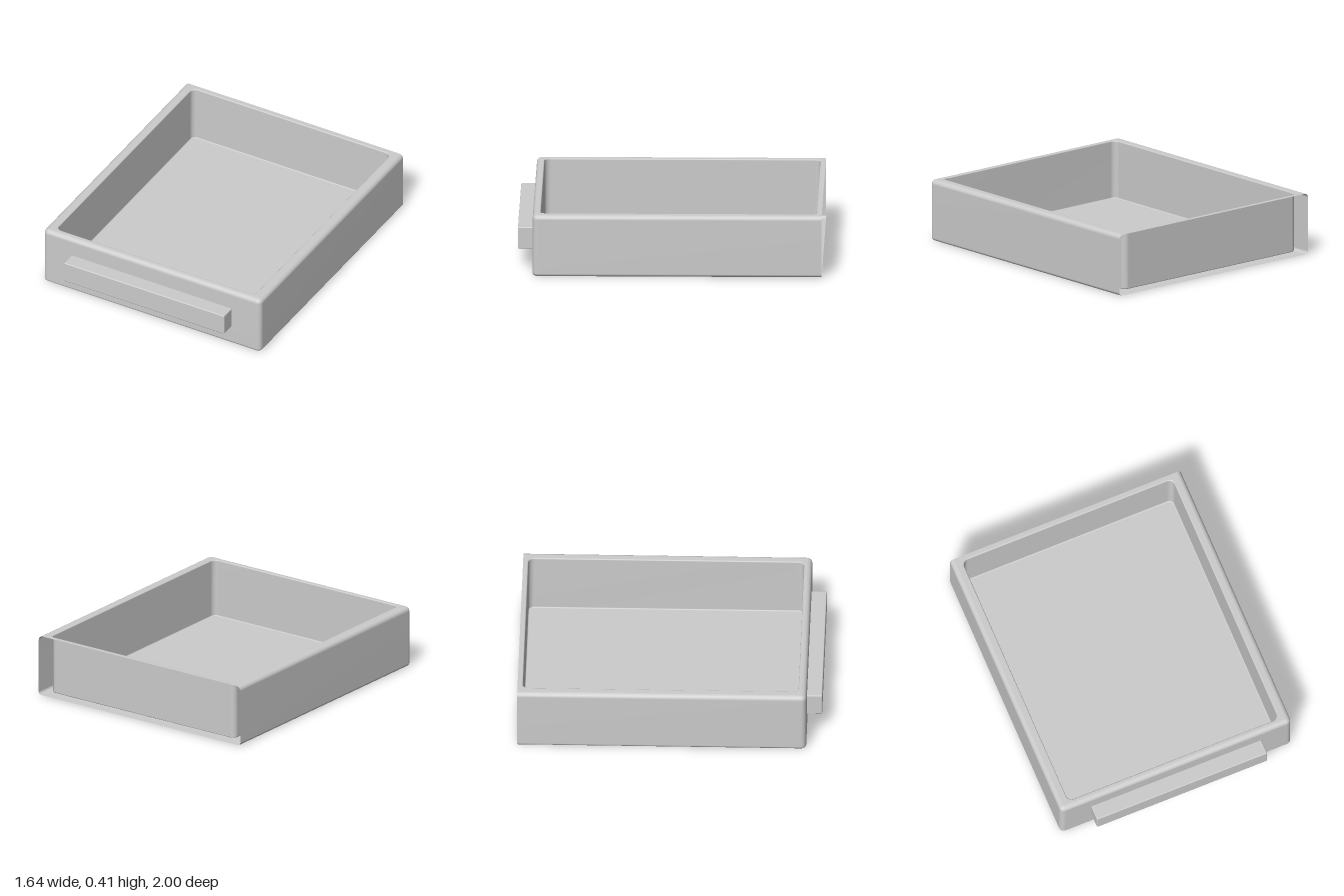
import * as THREE from 'three';
import { RoundedBoxGeometry } from 'three/addons/geometries/RoundedBoxGeometry.js';

const material = new THREE.MeshStandardMaterial({ color: 0xcccccc, side: THREE.DoubleSide });

// Rounded outline in plan; when open, it is a U with no back side
function outline(hx, zBack, zFront, r, open) {
  const pts = [];
  const centres = [[-hx + r, zFront - r], [hx - r, zFront - r]];
  if (open) pts.push([-hx, zBack]);
  else centres.push([hx - r, zBack + r], [-hx + r, zBack + r]);
  centres.forEach(([cx, cz], k) => {
    for (let i = 0; i <= 6; i++) {
      const a = Math.PI - (k + i / 6) * Math.PI / 2;
      pts.push([cx + r * Math.cos(a), cz + r * Math.sin(a)]);
    }
  });
  pts.push(open ? [hx, zBack] : pts[0]);
  return pts;
}

// Skin through outlines stacked at different heights
function loft(levels) {
  const pos = [], index = [], n = levels[0].pts.length;
  for (const { pts, y } of levels) for (const [x, z] of pts) pos.push(x, y, z);
  for (let j = 0; j < levels.length - 1; j++) {
    for (let i = 0; i < n - 1; i++) {
      const a = j * n + i, b = a + 1, c = b + n, d = a + n;
      index.push(a, b, c, a, c, d);
    }
  }
  const g = new THREE.BufferGeometry();
  g.setAttribute('position', new THREE.Float32BufferAttribute(pos, 3));
  g.setIndex(index);
  g.computeVertexNormals();
  return g;
}

// Flat horizontal panel facing up (1) or down (-1), with an optional hole
function panel(pts, y, facing, hole) {
  const to2D = list => list.map(([x, z]) => new THREE.Vector2(x, -facing * z));
  const shape = new THREE.Shape(to2D(pts));
  if (hole) shape.holes.push(new THREE.Path(to2D(hole)));
  return new THREE.ShapeGeometry(shape).rotateX(-facing * Math.PI / 2).translate(0, y, 0);
}

export function createModel() {
  const group = new THREE.Group();
  const add = (name, geometry) => {
    const mesh = new THREE.Mesh(geometry, material);
    mesh.name = name;
    group.add(mesh);
  };
  const H = 0.412, R = 0.03, RB = 0.02, STEPS = 5;
  const outer = d => outline(0.822 - d, -1, 0.9 - d, 0.035 - d, true);
  const inner = d => outline(0.755 - d, -0.972 + d, 0.855 - d, 0.045 - d, false);

  // Outer walls, rounded into the bottom and the rim, open at the back
  const walls = [];
  for (let i = 0; i <= STEPS; i++) {
    const a = i / STEPS * Math.PI / 2;
    walls.push({ pts: outer(RB * (1 - Math.sin(a))), y: RB * (1 - Math.cos(a)) });
  }
  for (let i = 0; i <= STEPS; i++) {
    const a = i / STEPS * Math.PI / 2;
    walls.push({ pts: outer(R * (1 - Math.cos(a))), y: H - R + R * Math.sin(a) });
  }
  add('outerWalls', loft(walls));
  add('underside', panel(outer(RB), 0, -1));
  add('rim', panel(outer(R), H, 1, inner(0)));

  // Inner tray: eased top edge, straight walls, small fillet to the floor
  const floorY = 0.022, e = 0.007;
  const tray = [];
  for (let i = 0; i <= 3; i++) {
    const a = i / 3 * Math.PI / 2;
    tray.push({ pts: inner(e * Math.sin(a)), y: H - e * (1 - Math.cos(a)) });
  }
  for (let i = 0; i <= 3; i++) {
    const a = i / 3 * Math.PI / 2;
    tray.push({ pts: inner(e + e * (1 - Math.cos(a))), y: floorY + e * (1 - Math.sin(a)) });
  }
  add('trayWalls', loft(tray));
  add('trayFloor', panel(inner(2 * e), floorY, 1));

  // Front pull bar
  const bar = new RoundedBoxGeometry(1.212, 0.146, 0.11, 3, 0.007);
  add('handle', bar.translate(0, 0.208, 0.945));
  return group;
}
